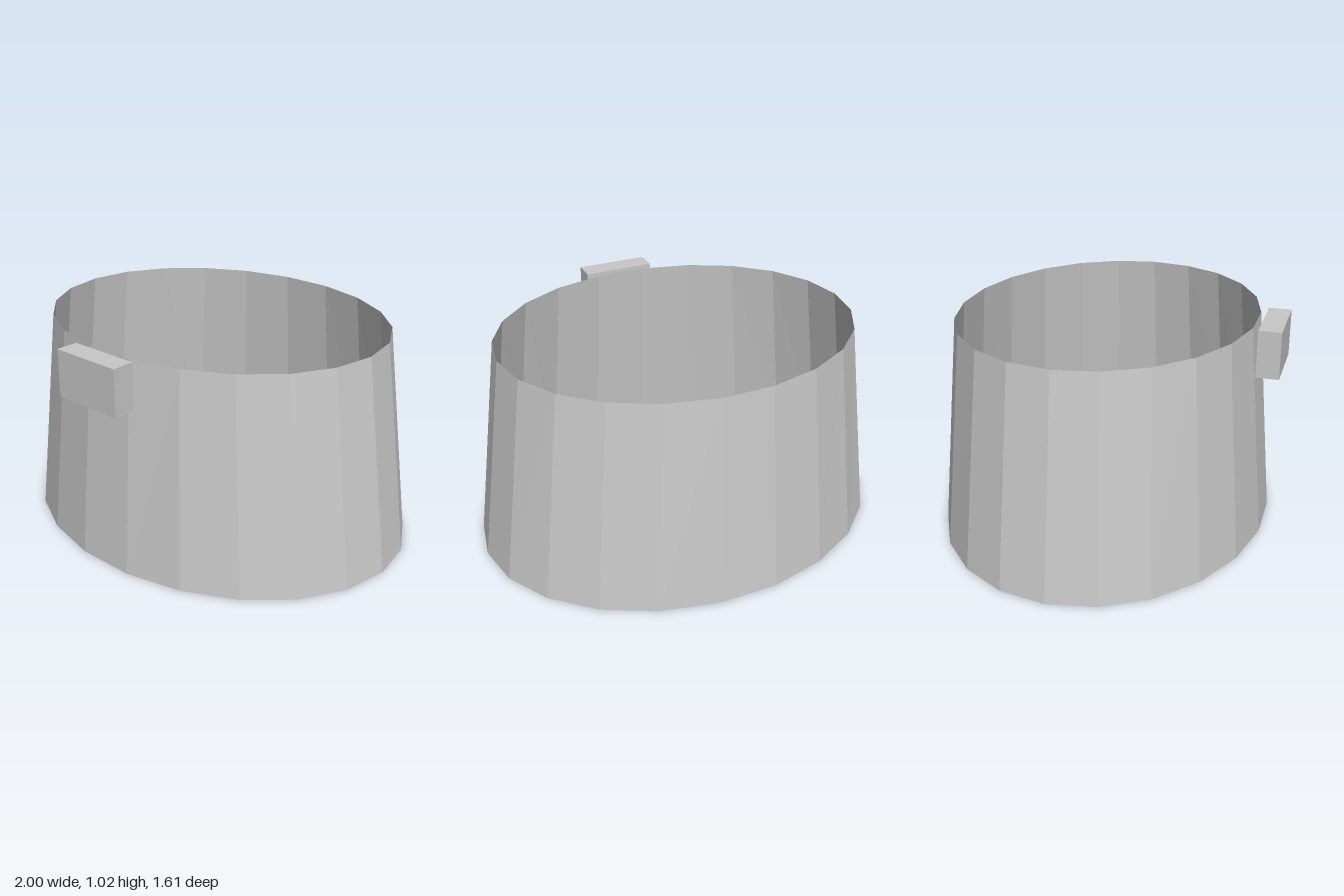
import * as THREE from 'three';

export function createModel() {
  const group = new THREE.Group();
  const grey = new THREE.MeshStandardMaterial({
    color: 0xc8c8c8, flatShading: true, side: THREE.DoubleSide,
  });
  grey.name = 'light grey';

  // Open tapered oval band: the unit cylinder is stretched to an ellipse per end
  const height = 1.01;
  const bandGeometry = new THREE.CylinderGeometry(1, 1, height, 22, 1, true, Math.PI / 2);
  const pos = bandGeometry.attributes.position;
  for (let i = 0; i < pos.count; i++) {
    const top = pos.getY(i) > 0;
    pos.setX(i, pos.getX(i) * (top ? 0.861 : 1));
    pos.setZ(i, pos.getZ(i) * (top ? 0.703 : 0.788));
  }
  bandGeometry.computeVertexNormals();
  const band = new THREE.Mesh(bandGeometry, grey);
  band.name = 'band';
  band.position.set(0, height / 2, -0.025);
  group.add(band);

  // Small block standing just off the front of the rim
  const block = new THREE.Mesh(new THREE.BoxGeometry(0.35, 0.22, 0.105), grey);
  block.name = 'frontBlock';
  block.position.set(-0.003, 0.907, 0.753);
  group.add(block);

  return group;
}
